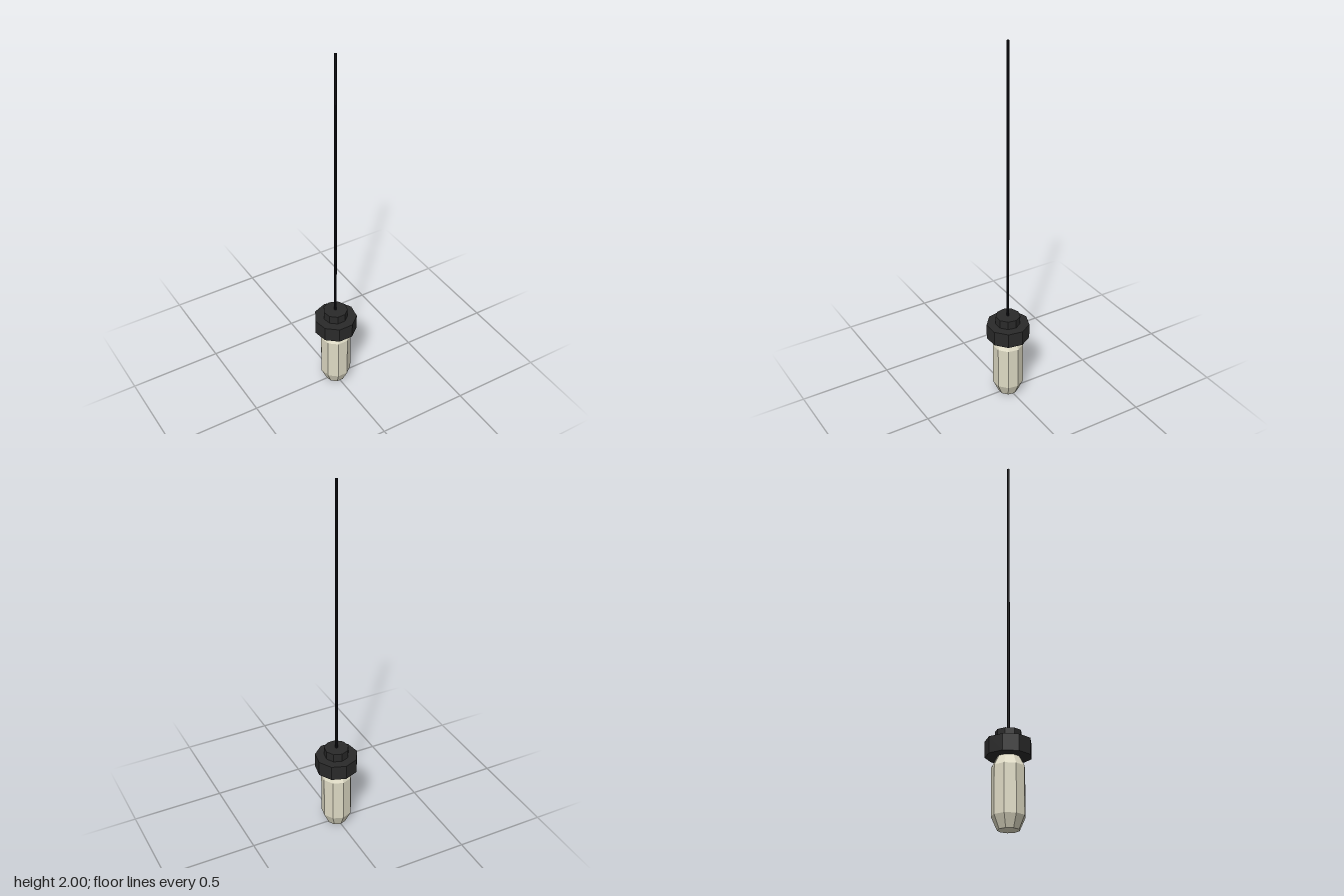
import * as THREE from 'three';

const SIDES = 9;

export function createModel() {
  const group = new THREE.Group();
  group.name = 'pendantLamp';

  const material = (color) => new THREE.MeshStandardMaterial({ color, flatShading: true });
  const black = material(0x2a2a2a);
  const cordBlack = material(0x15151a);
  const glass = material(0xdedac4);

  // Faceted solid of revolution with one corner pointing to the back
  function addLathe(name, profile, mat) {
    const points = profile.map(([r, y]) => new THREE.Vector2(r, y));
    const mesh = new THREE.Mesh(new THREE.LatheGeometry(points, SIDES, Math.PI), mat);
    mesh.name = name;
    mesh.position.z = 0.002;
    group.add(mesh);
  }

  // Bulb: tapered foot, straight body, sloping shoulder running into the socket
  addLathe('bulb', [[0, 0], [0.054, 0], [0.083, 0.065], [0.083, 0.305], [0.053, 0.36], [0, 0.36]], glass);

  // Socket cap and the smaller collar on top of it
  addLathe('socketCap', [[0, 0.355], [0.115, 0.355], [0.115, 0.438], [0, 0.438]], black);
  addLathe('collar', [[0, 0.43], [0.066, 0.43], [0.066, 0.485], [0, 0.485]], black);

  // Hanging cord
  addLathe('cord', [[0, 0.48], [0.007, 0.48], [0.007, 2], [0, 2]], cordBlack);

  return group;
}
